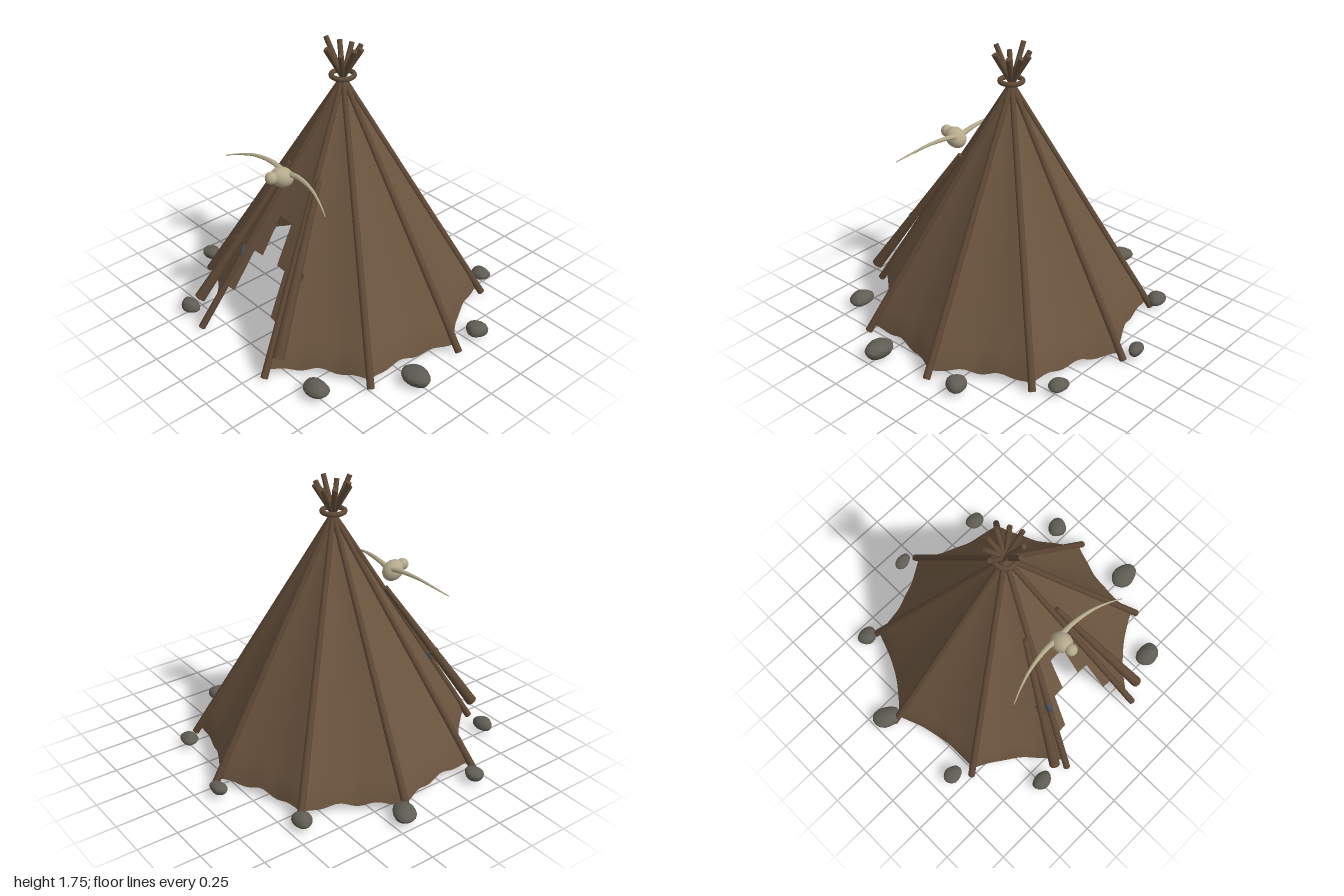
import * as THREE from 'three';

const mat = (name, color, extra = {}) => {
  const m = new THREE.MeshStandardMaterial({ color, ...extra });
  m.name = name;
  return m;
};
const V = (x, y, z) => new THREE.Vector3(x, y, z);

export function createModel() {
  const hide = mat('hide', 0x6b553f, { side: THREE.DoubleSide });
  const wood = mat('wood', 0x5f4936);
  const bone = mat('bone', 0xb5aa8c);
  const stone = mat('stone', 0x5e5c53, { flatShading: true });
  const slate = mat('slate blue', 0x42505a);

  const model = new THREE.Group();
  model.name = 'tent';
  const add = (name, geo, material, parent = model) => {
    const mesh = new THREE.Mesh(geo, material);
    mesh.name = name;
    parent.add(mesh);
    return mesh;
  };
  const group = (name) => {
    const g = new THREE.Group();
    g.name = name;
    model.add(g);
    return g;
  };

  // Tapered round stick between two points
  const stick = (name, a, b, ra, rb, parent) => {
    const dir = b.clone().sub(a);
    const mesh = add(name, new THREE.CylinderGeometry(rb, ra, dir.length(), 10), wood, parent);
    mesh.position.copy(a).add(b).multiplyScalar(0.5);
    mesh.quaternion.setFromUnitVectors(V(0, 1, 0), dir.normalize());
  };

  // Nine frame poles crossing at the apex
  const apex = V(0, 1.53, 0.01);
  const feet = [];
  const frame = group('framePoles');
  for (let i = 0; i < 9; i++) {
    const a = THREE.MathUtils.degToRad(20 + 40 * i);
    const foot = V(0.9 * Math.sin(a), 0.015, 0.04 + 0.9 * Math.cos(a));
    feet.push(foot);
    const over = 1 + [0.115, 0.12, 0.142, 0.11, 0.137, 0.115, 0.132, 0.12, 0.12][i];
    stick('framePole', foot, foot.clone().lerp(apex, over), 0.022, 0.015, frame);
  }

  // Sagging patch of hide between poles i and i+1 (u across, v from apex to hem);
  // the lowest part hangs more steeply
  const cover = group('cover');
  const patch = (name, i, u0, u1, v0, v1, sag) => {
    const nu = Math.max(2, Math.round(18 * (u1 - u0))), nv = 24;
    const A = feet[i], B = feet[(i + 1) % 9];
    const inward = V(0, 0, 0.04).sub(A.clone().add(B).multiplyScalar(0.5)).setY(0).normalize();
    const pos = [], index = [];
    for (let r = 0; r <= nv; r++) {
      const v = v0 + (v1 - v0) * r / nv;
      const drop = Math.max(0, v - 0.91);
      const reach = v - 4.5 * drop * drop;
      for (let c = 0; c <= nu; c++) {
        const u = u0 + (u1 - u0) * c / nu;
        const foot = A.clone().lerp(B, u);
        const p = apex.clone().lerp(foot, reach);
        p.y = THREE.MathUtils.lerp(apex.y, foot.y, v);
        p.addScaledVector(inward, sag * Math.sin(Math.PI * u) * v);
        p.y += 0.02 * Math.sin(5 * Math.PI * u + i * 1.7) * Math.sin(Math.PI * u) * v ** 12;
        pos.push(p.x, p.y, p.z);
        if (r < nv && c < nu) {
          const k = r * (nu + 1) + c, d = k + nu + 1;
          index.push(k, d, k + 1, k + 1, d, d + 1);
        }
      }
    }
    const g = new THREE.BufferGeometry();
    g.setAttribute('position', new THREE.Float32BufferAttribute(pos, 3));
    g.setIndex(index);
    g.computeVertexNormals();
    add(name, g, hide, cover);
  };
  for (let i = 0; i < 8; i++) patch('coverPanel', i, 0, 1, 0.01, 0.978, 0.04);

  // Front panel with a stepped doorway
  patch('frontPanel', 8, 0, 1, 0.01, 0.51, 0.015);
  for (const [w, v0, v1] of [[0.335, 0.51, 0.66], [0.155, 0.66, 0.82]]) {
    patch('doorStep', 8, 0, w, v0, v1, 0.015);
    patch('doorStep', 8, 1 - w, 1, v0, v1, 0.015);
  }

  // Binding ring where the poles cross
  const ring = add('bindingRing', new THREE.TorusGeometry(0.066, 0.015, 10, 28), wood);
  ring.rotation.x = Math.PI / 2;
  ring.position.set(0, 1.545, 0.012);

  // Flap poles beside the doorway, each with a small lashing loop
  for (const s of [1, -1]) {
    stick('flapPole', V(s * 0.38, 0.175, 0.835), V(s * 0.13, 1.03, 0.305), 0.035, 0.016);
    const loop = add('lashingLoop', new THREE.TorusGeometry(0.034, 0.006, 6, 18), wood);
    loop.rotation.y = Math.PI / 2;
    loop.position.set(s * 0.272, 0.555, 0.588);
  }

  // Small pendant on one side of the doorway
  const pendant = add('pendant', new THREE.SphereGeometry(1, 10, 8), slate);
  pendant.scale.set(0.017, 0.05, 0.027);
  pendant.position.set(-0.213, 0.505, 0.605);
  pendant.rotation.x = -0.5;

  // Horned skull above the doorway
  const skull = group('skull');
  const cranium = add('cranium', new THREE.SphereGeometry(0.062, 20, 14), bone, skull);
  cranium.scale.set(1, 0.95, 1.18);
  cranium.rotation.x = 0.6;
  cranium.position.set(0, 1.053, 0.468);
  cranium.rotation.x = -0.6;
  const muzzle = add('muzzle', new THREE.SphereGeometry(0.037, 16, 12), bone, skull);
  muzzle.position.set(0, 1.075, 0.544);

  // Tapered horns swept along a curve
  for (const s of [1, -1]) {
    const path = new THREE.CatmullRomCurve3([
      V(s * 0.03, 1.075, 0.44), V(s * 0.12, 1.09, 0.443),
      V(s * 0.25, 1.085, 0.463), V(s * 0.36, 1.057, 0.495), V(s * 0.447, 1.027, 0.53),
    ]);
    const n = 24, sides = 8, r0 = 0.017;
    const g = new THREE.TubeGeometry(path, n, r0, sides);
    const p = g.attributes.position, q = V(0, 0, 0);
    for (let k = 0; k < p.count; k++) {
      const t = Math.floor(k / (sides + 1)) / n, c = path.getPointAt(t);
      q.fromBufferAttribute(p, k).sub(c).multiplyScalar(1 - 0.85 * t).add(c);
      p.setXYZ(k, q.x, q.y, q.z);
    }
    g.computeVertexNormals();
    add('horn', g, bone, skull);
  }

  // Ring of weighting stones: x, z, width, depth, height radii, turn
  const stones = group('stones');
  [
    [-0.09, -0.885, 0.064, 0.042, 0.038, 0.2], [0.475, -0.755, 0.066, 0.054, 0.038, 0],
    [0.845, -0.315, 0.07, 0.064, 0.042, 0.3], [0.905, 0.258, 0.097, 0.073, 0.052, 0],
    [0.605, 0.748, 0.085, 0.066, 0.05, 0.15], [-0.49, 0.84, 0.07, 0.052, 0.042, 0],
    [-0.868, 0.41, 0.065, 0.053, 0.04, -0.1], [-0.91, -0.165, 0.092, 0.068, 0.048, -0.4],
    [-0.622, -0.665, 0.067, 0.058, 0.041, 0],
  ].forEach(([x, z, w, d, h, turn], i) => {
    const g = new THREE.IcosahedronGeometry(1, 2);
    const p = g.attributes.position, q = V(0, 0, 0);
    for (let k = 0; k < p.count; k++) {
      q.fromBufferAttribute(p, k);
      const f = 0.98 + 0.07 * Math.sin(3.1 * q.x + i) * Math.cos(2.7 * q.z - i) + 0.04 * Math.sin(4 * q.y + 2 * i);
      p.setXYZ(k, q.x * f, q.y * f, q.z * f);
    }
    g.computeVertexNormals();
    const rock = add('stone', g, stone, stones);
    rock.scale.set(w, h, d);
    rock.rotation.y = turn;
    rock.position.set(x, 0.057, z);
  });

  return model;
}
